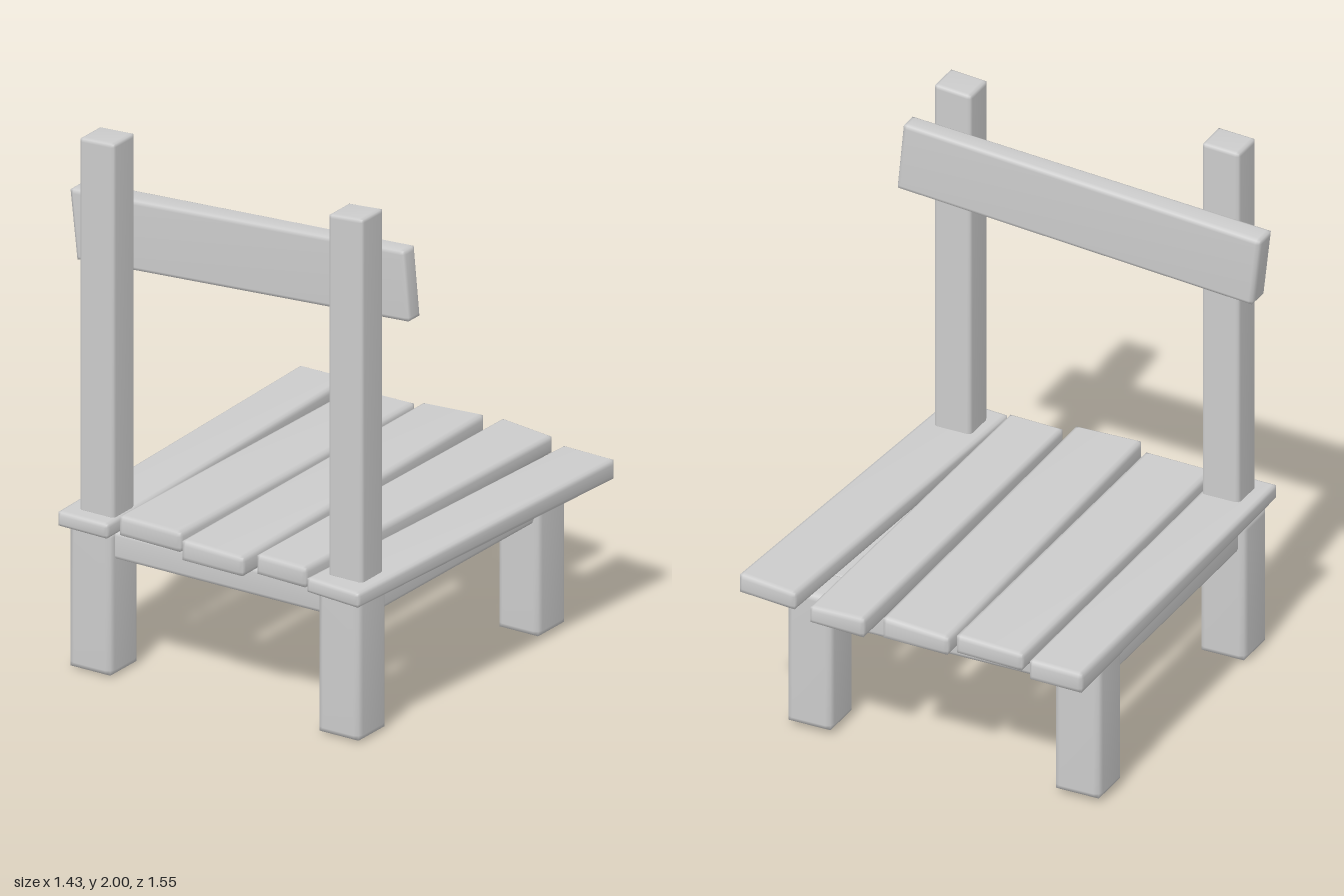
import * as THREE from 'three';
import { mergeVertices } from 'three/addons/utils/BufferGeometryUtils.js';

const material = new THREE.MeshStandardMaterial({ color: 0xcccccc });
const lerp = THREE.MathUtils.lerp;

// Hewn timber: a unit block with softened edges, its corners placed by map(u, v, w).
function timber(name, size, bevel, map) {
  let geo = new THREE.BoxGeometry(1, 1, 1, 3, 3, 3);
  geo.deleteAttribute('uv');
  geo.deleteAttribute('normal');
  geo = mergeVertices(geo, 1e-4);
  const pos = geo.attributes.position;
  for (let i = 0; i < pos.count; i++) {
    const p = [pos.getX(i), pos.getY(i), pos.getZ(i)];
    const outer = p.filter((c) => Math.abs(c) > 0.4).length;
    const uvw = p.map((c, a) => {
      const b = bevel / size[a];
      const inset = Math.abs(c) < 0.4 ? b : outer > 1 ? b * 0.3 : 0;
      return c < 0 ? inset : 1 - inset;
    });
    pos.setXYZ(i, ...map(...uvw));
  }
  geo.computeVertexNormals();
  const mesh = new THREE.Mesh(geo, material);
  mesh.name = name;
  return mesh;
}

// Straight timber; topTilt lowers the top on its -x side.
function post(name, [x0, x1], [y0, y1], [z0, z1], bevel = 0.018, topTilt = 0) {
  return timber(name, [x1 - x0, y1 - y0, z1 - z0], bevel, (u, v, w) => [
    lerp(x0, x1, u), lerp(y0, y1 - topTilt * (1 - u), v), lerp(z0, z1, w)]);
}

// Seat board: plan corners [x, z] as -z pair then +z pair, top heights in the same order.
function board(name, [a, b, c, d], tops) {
  return timber(name, [0.25, 0.07, 1.5], 0.018, (u, v, w) => [
    lerp(lerp(a[0], b[0], u), lerp(c[0], d[0], u), w),
    lerp(0.543, lerp(lerp(tops[0], tops[1], u), lerp(tops[2], tops[3], u), w), v),
    lerp(lerp(a[1], b[1], u), lerp(c[1], d[1], u), w)]);
}

export function createModel() {
  const chair = new THREE.Group();
  chair.name = 'rusticChair';

  // Four stout legs
  for (const [side, x] of [['Right', [-0.635, -0.455]], ['Left', [0.405, 0.582]]]) {
    chair.add(post('backrestLeg' + side, x, [0, 0.545], [0.515, 0.69], 0.025));
    chair.add(post('seatLeg' + side, x, [0.012, 0.545], [-0.585, -0.41], 0.025));
  }

  // Rails joining the legs under the seat
  const railY = [0.435, 0.543];
  chair.add(post('railAcross', [-0.47, 0.42], railY, [-0.575, -0.44]));
  chair.add(post('railAcross', [-0.47, 0.42], railY, [0.54, 0.665]));
  chair.add(post('sideRail', [-0.61, -0.48], railY, [-0.43, 0.53]));
  chair.add(post('sideRail', [0.43, 0.56], railY, [-0.43, 0.53]));

  // Five uneven seat boards
  const boards = [
    [[[-0.665, -0.78], [-0.455, -0.775], [-0.645, 0.745], [-0.43, 0.75]], [0.625, 0.628, 0.602, 0.602]],
    [[[-0.412, -0.735], [-0.145, -0.725], [-0.42, 0.7], [-0.15, 0.71]], [0.615, 0.622, 0.625, 0.625]],
    [[[-0.135, -0.755], [0.127, -0.75], [-0.113, 0.765], [0.15, 0.768]], [0.618, 0.635, 0.628, 0.62]],
    [[[0.18, -0.78], [0.402, -0.765], [0.17, 0.72], [0.385, 0.73]], [0.625, 0.612, 0.625, 0.625]],
    [[[0.48, -0.715], [0.713, -0.69], [0.4, 0.752], [0.635, 0.775]], [0.615, 0.625, 0.602, 0.602]],
  ];
  boards.forEach(([plan, tops], i) => chair.add(board('seatBoard' + (i + 1), plan, tops)));

  // Backrest posts
  chair.add(post('backPostRight', [-0.59, -0.443], [0.59, 2], [0.558, 0.69], 0.015, 0.008));
  chair.add(post('backPostLeft', [0.45, 0.595], [0.59, 1.962], [0.558, 0.69], 0.015, 0.012));

  // Slanted backrest board on the seat side of the posts, thinner at its high end
  chair.add(timber('backrestBoard', [1.4, 0.27, 0.09], 0.018, (u, v, w) => [
    lerp(lerp(-0.692, 0.703, u), lerp(-0.722, 0.678, u), v),
    lerp(lerp(1.462, 1.555, u), lerp(1.728, 1.82, u), v),
    lerp(lerp(0.46, 0.485, u * u), 0.56, w)]));

  return chair;
}
